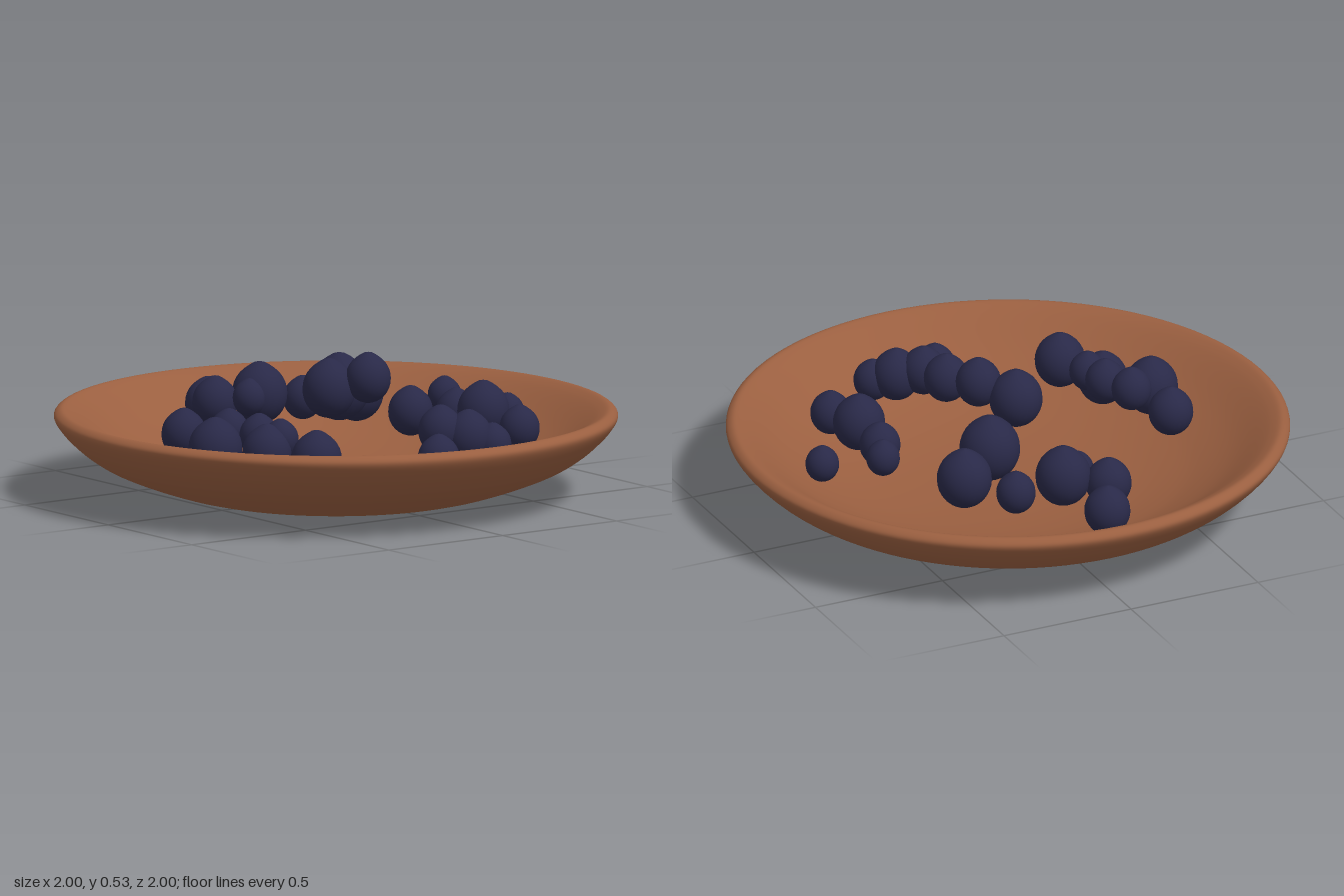
import * as THREE from 'three';

const clay = new THREE.MeshStandardMaterial({ name: 'brown clay', color: 0x9a5f40 });
const berrySkin = new THREE.MeshStandardMaterial({ name: 'dark blue berry', color: 0x292948 });

// Shallow dish: outside wall, rolled lip, then the inside easing down to the centre
function makeBowl() {
  const profile = [[0, 0], [0.25, 0.002], [0.46, 0.01], [0.57, 0.03], [0.66, 0.057],
    [0.75, 0.09], [0.83, 0.126], [0.9, 0.172], [0.955, 0.222], [0.988, 0.262],
    [1, 0.288], [0.992, 0.305], [0.97, 0.315], [0.94, 0.304],
    [0.9, 0.279], [0.8, 0.207], [0.7, 0.152], [0.6, 0.111], [0.45, 0.073], [0.25, 0.05], [0, 0.043]]
    .map(([r, y]) => new THREE.Vector2(r, y));
  const points = new THREE.SplineCurve(profile).getPoints(80);
  points[80].x = 0;
  const bowl = new THREE.Mesh(new THREE.LatheGeometry(points, 96), clay);
  bowl.name = 'bowl';
  return bowl;
}

// Round berry, slightly taller than wide, with a small peak on top
function makeBerryGeometry() {
  const geometry = new THREE.SphereGeometry(1, 24, 16);
  const pos = geometry.attributes.position;
  for (let i = 0; i < pos.count; i++) {
    const y = pos.getY(i);
    pos.setY(i, 1.08 * y + 0.1 * Math.max(0, y) ** 14);
  }
  geometry.computeVertexNormals();
  return geometry;
}

// Berries heaped towards the middle: x, y, z, radius
const berries = [
  // middle
  [0.002, 0.388, 0.032, 0.095], [0.1, 0.43, -0.068, 0.081], [0.341, 0.345, -0.078, 0.08],
  // left back
  [-0.23, 0.338, -0.183, 0.108], [-0.333, 0.294, -0.333, 0.098], [-0.463, 0.266, -0.193, 0.07],
  // left
  [-0.476, 0.299, -0.013, 0.099], [-0.69, 0.242, 0.057, 0.082],
  [-0.545, 0.273, 0.132, 0.082], [-0.44, 0.296, 0.058, 0.06],
  // back
  [0.091, 0.243, -0.687, 0.06], [-0.064, 0.299, -0.523, 0.06], [0.095, 0.27, -0.458, 0.073],
  [0.244, 0.294, -0.468, 0.093], [0.433, 0.255, -0.489, 0.072],
  // right
  [0.62, 0.249, -0.233, 0.068], [0.572, 0.276, -0.163, 0.086],
  [0.515, 0.3, -0.083, 0.08], [0.656, 0.232, 0.029, 0.075],
  // front
  [0.482, 0.246, 0.438, 0.09], [0.279, 0.249, 0.508, 0.088], [0.279, 0.289, 0.448, 0.065],
  [0.181, 0.29, 0.47, 0.071], [0.066, 0.296, 0.518, 0.071],
  [0.134, 0.256, 0.628, 0.096], [-0.109, 0.269, 0.588, 0.08],
];

export function createModel() {
  const model = new THREE.Group();
  model.name = 'bowlOfBerries';
  model.add(makeBowl());

  const heap = new THREE.Group();
  heap.name = 'berries';
  const geometry = makeBerryGeometry();
  for (const [x, y, z, r] of berries) {
    const berry = new THREE.Mesh(geometry, berrySkin);
    berry.name = 'berry';
    berry.position.set(x, y, z);
    berry.scale.setScalar(r);
    heap.add(berry);
  }
  model.add(heap);
  return model;
}
